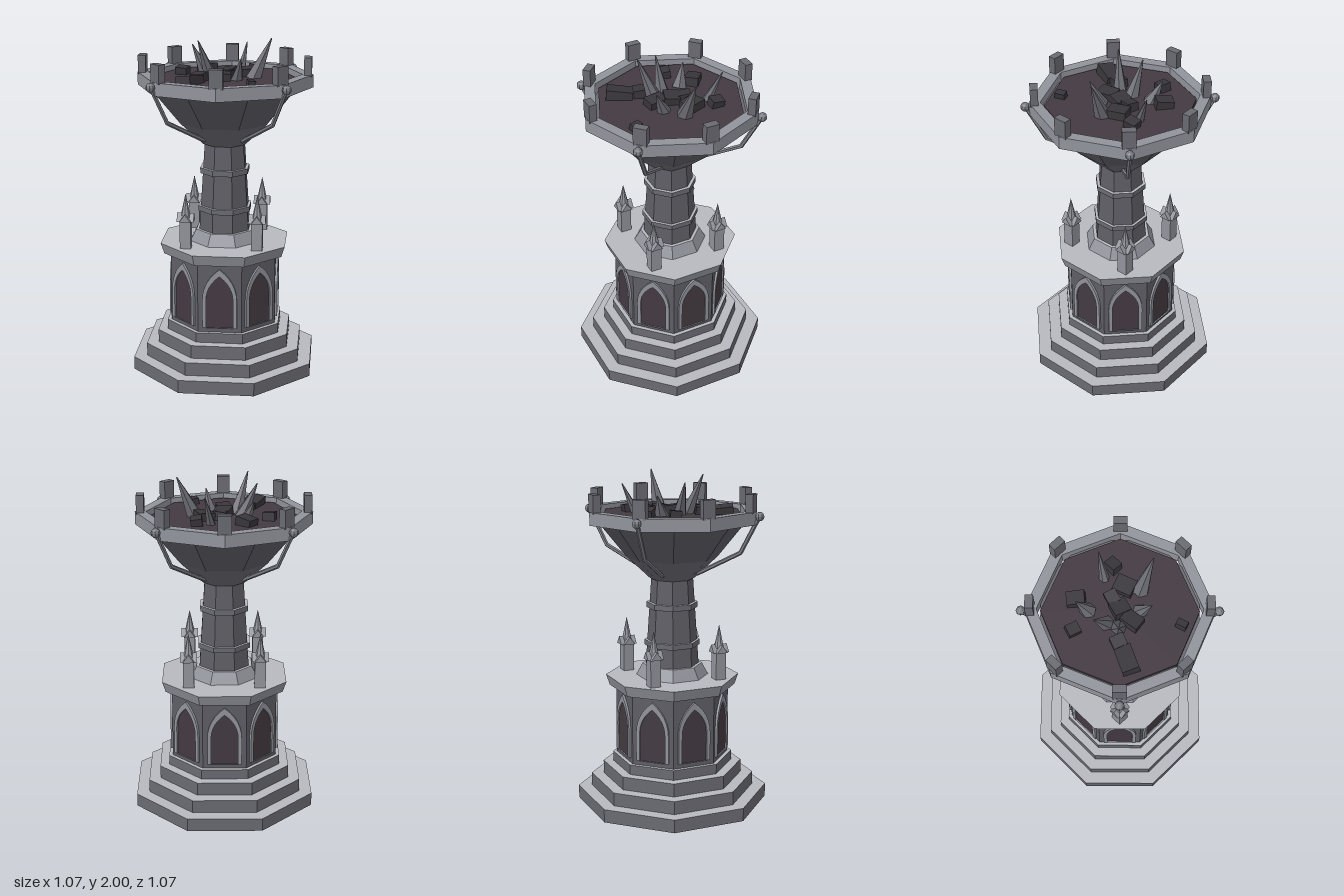
import * as THREE from 'three';

const mat = (name, color) => Object.assign(new THREE.MeshStandardMaterial({ color }), { name });

export function createModel() {
  const model = new THREE.Group();
  model.name = 'tower';
  const stone = mat('stone', 0x6a6a72);
  const wallStone = mat('wall stone', 0x5e5e65);
  const trim = mat('trim stone', 0x92949c);
  const pale = mat('pale ledge', 0xb8b9bf);
  const iron = mat('iron', 0x7c7d85);
  const hollow = mat('dark hollow', 0x433a41);
  const rock = mat('dark rock', 0x39363b);

  const add = (name, geometry, material, parent = model) => {
    const m = new THREE.Mesh(geometry, material);
    m.name = name;
    parent.add(m);
    return m;
  };
  // gives every face its own normal
  const flat = (g) => {
    const f = g.index ? g.toNonIndexed() : g;
    f.computeVertexNormals();
    return f;
  };
  // octagonal tier with flats on the axes, sized by half width across flats
  const tier = (name, bottom, top, y0, y1, side, cap = side) => {
    const k = 1 / Math.cos(Math.PI / 8);
    const g = new THREE.CylinderGeometry(top * k, bottom * k, y1 - y0, 8);
    g.rotateY(Math.PI / 8).translate(0, (y0 + y1) / 2, 0);
    return add(name, flat(g), [side, cap, side]);
  };
  // octagon outline with corners on the axes
  const octagon = (r) => Array.from({ length: 8 }, (_, i) =>
    new THREE.Vector2(r * Math.cos(i * Math.PI / 4), r * Math.sin(i * Math.PI / 4)));
  // rod or spike between two points
  const rod = (name, a, b, r0, r1, sides, material, parent) => {
    const d = b.clone().sub(a);
    const m = add(name, flat(new THREE.CylinderGeometry(r1, r0, d.length(), sides)), material, parent);
    m.position.copy(a).add(b).multiplyScalar(0.5);
    m.quaternion.setFromUnitVectors(new THREE.Vector3(0, 1, 0), d.normalize());
    return m;
  };
  const V = (x, y, z) => new THREE.Vector3(x, y, z);

  // stepped base
  [[0.533, 0, 0.08], [0.458, 0.08, 0.16], [0.39, 0.16, 0.24], [0.335, 0.24, 0.3]]
    .forEach(([a, y0, y1]) => tier('baseStep', a, a, y0, y1, stone, pale));

  // arcaded drum and cornice
  tier('drum', 0.313, 0.313, 0.3, 0.725, wallStone);
  tier('cornice', 0.35, 0.37, 0.725, 0.79, trim, pale);

  // pointed arches on all eight sides
  const archPath = (shape, w, spring, top) => {
    const c = spring + (top - spring) * 0.6;
    shape.moveTo(-w, 0.33);
    shape.lineTo(w, 0.33);
    shape.lineTo(w, spring);
    shape.quadraticCurveTo(w, c, 0, top);
    shape.quadraticCurveTo(-w, c, -w, spring);
    shape.closePath();
    return shape;
  };
  const frameShape = archPath(new THREE.Shape(), 0.102, 0.5, 0.695);
  frameShape.holes.push(archPath(new THREE.Path(), 0.08, 0.5, 0.652));
  const frameGeo = new THREE.ExtrudeGeometry(frameShape, { depth: 0.025, bevelEnabled: false, curveSegments: 6 });
  const panelGeo = new THREE.ShapeGeometry(archPath(new THREE.Shape(), 0.085, 0.5, 0.66), 6);
  for (let i = 0; i < 8; i++) {
    const arch = new THREE.Group();
    arch.name = 'arch';
    arch.rotation.y = i * Math.PI / 4;
    add('archFrame', frameGeo, trim, arch).position.z = 0.301;
    add('archPanel', panelGeo, hollow, arch).position.z = 0.317;
    model.add(arch);
  }

  // corner pinnacles with crossed gables
  const gableShape = new THREE.Shape([[-0.035, 0], [0.035, 0], [0, 0.047]].map((p) => new THREE.Vector2(...p)));
  const gableGeo = new THREE.ExtrudeGeometry(gableShape, { depth: 0.1, bevelEnabled: false }).translate(0, 0, -0.05);
  const spireGeo = flat(new THREE.ConeGeometry(0.036, 0.165, 8));
  for (const x of [-0.21, 0.21]) for (const z of [-0.21, 0.21]) {
    const p = new THREE.Group();
    p.name = 'pinnacle';
    p.position.set(x, 0.79, z);
    add('pinnaclePost', new THREE.BoxGeometry(0.065, 0.165, 0.065), trim, p).position.y = 0.0825;
    for (const turn of [0, Math.PI / 2]) {
      const gable = add('gable', gableGeo, trim, p);
      gable.position.y = 0.165;
      gable.rotation.y = turn;
    }
    add('spire', spireGeo, trim, p).position.y = 0.2475;
    model.add(p);
  }

  // column with rings
  tier('columnFoot', 0.2, 0.165, 0.79, 0.86, trim, pale);
  tier('column', 0.147, 0.115, 0.86, 1.38, wallStone);
  tier('lowerRing', 0.153, 0.153, 0.975, 1.007, stone, pale);
  tier('upperRing', 0.141, 0.141, 1.205, 1.238, stone, pale);

  // bowl and its rim
  tier('bowlFoot', 0.122, 0.25, 1.38, 1.51, stone);
  tier('bowl', 0.25, 0.43, 1.51, 1.75, wallStone, stone);
  const rimShape = new THREE.Shape(octagon(0.515));
  rimShape.holes.push(new THREE.Path(octagon(0.45)));
  const rimGeo = new THREE.ExtrudeGeometry(rimShape, { depth: 0.075, bevelEnabled: false });
  add('rim', rimGeo.rotateX(-Math.PI / 2).translate(0, 1.72, 0), trim);
  const floorGeo = flat(new THREE.CylinderGeometry(0.43, 0.43, 0.04, 8));
  add('bowlFloor', floorGeo.translate(0, 1.75, 0), hollow);

  // merlons on the rim corners
  const merlonGeo = new THREE.BoxGeometry(0.077, 0.11, 0.045).translate(0, 1.842, 0.483);
  for (let i = 0; i < 8; i++) add('merlon', merlonGeo, stone).rotation.y = i * Math.PI / 4;

  // diagonal braces with knobs
  for (let i = 0; i < 4; i++) {
    const brace = new THREE.Group();
    brace.name = 'brace';
    brace.rotation.y = Math.PI / 4 + i * Math.PI / 2;
    rod('braceUpper', V(0, 1.55, 0.42), V(0, 1.77, 0.533), 0.013, 0.013, 6, iron, brace);
    rod('braceLower', V(0, 1.415, 0.155), V(0, 1.555, 0.423), 0.013, 0.013, 6, iron, brace);
    add('knob', flat(new THREE.SphereGeometry(0.027, 8, 6)), iron, brace).position.set(0, 1.77, 0.535);
    model.add(brace);
  }

  // leaning spikes: base x, z, tip x, y, z, radius
  [
    [0.165, -0.01, 0.27, 2.0, -0.02, 0.05],
    [0.075, -0.195, 0.108, 1.94, -0.272, 0.03],
    [-0.12, -0.12, -0.165, 1.89, -0.165, 0.047],
    [-0.1, 0, -0.19, 1.96, -0.005, 0.045],
    [-0.07, 0.06, -0.14, 2.0, 0.133, 0.045],
    [0.075, 0.075, 0.105, 1.9, 0.135, 0.042],
  ].forEach(([bx, bz, tx, ty, tz, r]) =>
    rod('spike', V(bx, 1.76, bz), V(tx, ty, tz), r, 0.003, 6, stone));

  // rubble: x, z, width, depth, turn
  [
    [-0.125, -0.21, 0.1, 0.08, -0.7], [-0.26, -0.095, 0.07, 0.065, -0.3],
    [0.155, -0.21, 0.065, 0.075, 0], [0.115, -0.08, 0.095, 0.11, 0.35],
    [0.02, -0.08, 0.07, 0.075, -0.3], [0.005, -0.005, 0.095, 0.09, -0.3],
    [0, 0.09, 0.08, 0.11, 0.15], [-0.135, 0.125, 0.08, 0.07, -0.35],
    [-0.175, 0.23, 0.095, 0.15, -0.45], [0.175, 0.293, 0.042, 0.06, 0.3],
  ].forEach(([x, z, w, d, turn], i) => {
    const b = add('rubble', new THREE.BoxGeometry(w, Math.min(w, 0.06), d), rock);
    b.position.set(x, 1.785, z);
    b.rotation.set(0.15 * Math.sin(i * 2.1), turn, 0.15 * Math.cos(i * 1.7));
  });

  return model;
}
